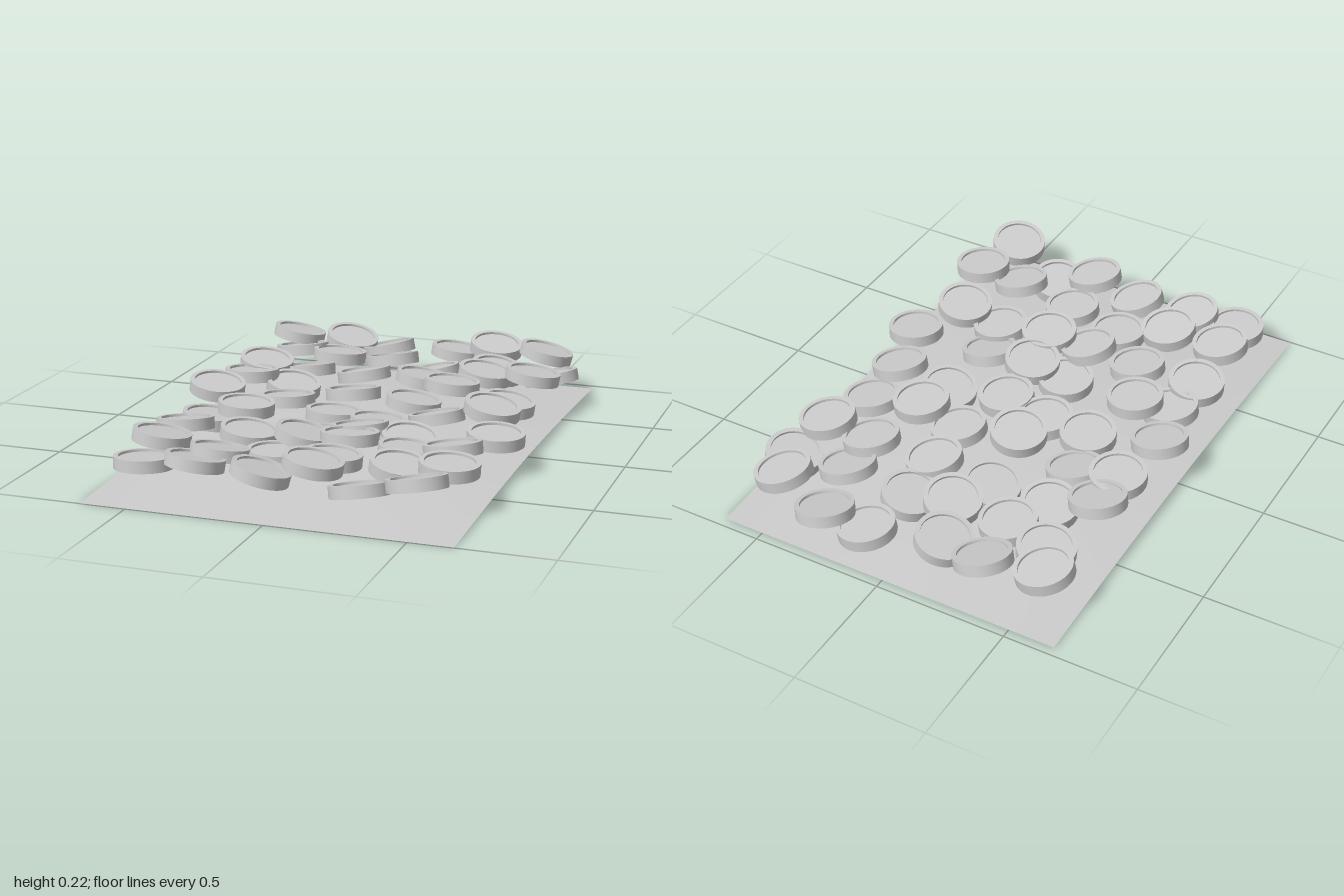
import * as THREE from 'three';
import { toCreasedNormals } from 'three/addons/utils/BufferGeometryUtils.js';

const UP = new THREE.Vector3(0, 1, 0);

// Round piece with a raised rim and a shallow recess on both faces
function makeDisc() {
  const r = 0.105, inner = 0.088, half = 0.022, floor = 0.013;
  const profile = [
    [0, -floor], [inner, -floor], [inner, -half], [r, -half],
    [r, half], [inner, half], [inner, floor], [0, floor],
  ].map(([x, y]) => new THREE.Vector2(x, y));
  return toCreasedNormals(new THREE.LatheGeometry(profile, 40), 0.6);
}

// Thin sheet bulging gently upward in the middle
function makeSheet() {
  const geo = new THREE.PlaneGeometry(1.33, 1.96, 24, 32).rotateX(-Math.PI / 2);
  const p = geo.attributes.position;
  for (let i = 0; i < p.count; i++) {
    const u = p.getX(i) / 0.665, v = p.getZ(i) / 0.98;
    p.setY(i, Math.cos(v * Math.PI / 2) * (0.026 + 0.028 * Math.cos(u * Math.PI / 2)));
  }
  geo.translate(-0.007, 0, 0.016);
  geo.computeVertexNormals();
  return geo;
}

export function createModel() {
  const model = new THREE.Group();
  const grey = new THREE.MeshStandardMaterial({ color: 0xcccccc });
  const sheetGrey = new THREE.MeshStandardMaterial({ color: 0xcccccc, side: THREE.DoubleSide });
  const discGeo = makeDisc();

  const sheet = new THREE.Mesh(makeSheet(), sheetGrey);
  sheet.name = 'curvedSheet';
  model.add(sheet);

  // Each disc: x, z, height, lean of its axis toward x and z
  const addRow = (name, discs) => {
    const row = new THREE.Group();
    row.name = name;
    for (const [x, z, y, leanX, leanZ] of discs) {
      const disc = new THREE.Mesh(discGeo, grey);
      disc.name = 'disc';
      disc.position.set(x, y, z);
      disc.quaternion.setFromUnitVectors(UP, new THREE.Vector3(leanX, 1, leanZ).normalize());
      row.add(disc);
    }
    model.add(row);
  };

  addRow('discRow1', [
    [-0.55, -0.81, 0.17, 0.18, -0.1], [-0.33, -0.84, 0.155, 0.24, 0.16], [-0.16, -0.81, 0.14, -0.24, -0.1],
    [0.11, -0.88, 0.13, 0.14, -0.06], [0.27, -0.895, 0.16, 0.15, 0.16], [0.5, -0.81, 0.175, 0.24, -0.06],
  ]);
  addRow('discRow2', [
    [-0.49, -0.685, 0.14, -0.12, -0.14], [-0.31, -0.63, 0.143, 0.06, -0.1], [-0.085, -0.625, 0.145, -0.18, -0.18],
    [0.085, -0.635, 0.105, -0.22, -0.08], [0.345, -0.635, 0.135, 0.22, 0.1], [0.56, -0.66, 0.12, -0.22, -0.1],
  ]);
  addRow('discRow3', [
    [-0.38, -0.46, 0.12, -0.12, -0.16], [-0.53, -0.385, 0.155, 0.16, 0.12], [-0.15, -0.465, 0.12, -0.18, -0.12],
    [0.1, -0.445, 0.13, 0.17, -0.08], [0.34, -0.485, 0.16, 0.18, 0.03], [0.53, -0.48, 0.172, 0.15, -0.06],
  ]);
  addRow('discRow4', [
    [-0.53, -0.23, 0.15, -0.02, -0.1], [-0.36, -0.235, 0.115, 0.18, 0.12], [-0.09, -0.165, 0.13, -0.1, -0.16],
    [0.135, -0.215, 0.1, 0.15, -0.06], [0.28, -0.235, 0.178, 0.08, -0.08], [0.495, -0.24, 0.12, 0.15, 0.04],
  ]);
  addRow('discRow5', [
    [-0.575, 0.01, 0.16, 0.16, 0.1], [-0.31, -0.04, 0.12, -0.05, -0.12], [-0.11, 0, 0.09, 0.05, -0.08],
    [0.08, 0.045, 0.09, 0.06, -0.1], [0.28, -0.04, 0.105, -0.2, -0.14], [0.49, -0.05, 0.155, 0.2, 0.08],
  ]);
  addRow('discRow6', [
    [-0.5, 0.255, 0.11, 0.12, -0.04], [-0.38, 0.2, 0.15, 0.06, -0.02], [-0.065, 0.245, 0.09, -0.04, -0.12],
    [0.08, 0.245, 0.125, -0.12, -0.14], [0.27, 0.25, 0.103, 0.18, 0.14], [0.575, 0.205, 0.13, 0.06, 0.04],
  ]);
  addRow('discRow7', [
    [-0.53, 0.415, 0.135, -0.08, -0.16], [-0.28, 0.42, 0.122, 0.14, 0.02], [-0.07, 0.42, 0.135, 0.24, -0.04],
    [0.1, 0.415, 0.145, -0.02, -0.12], [0.31, 0.405, 0.11, 0.1, -0.06], [0.48, 0.42, 0.143, -0.14, -0.14],
  ]);
  addRow('discRow8', [
    [-0.515, 0.655, 0.155, 0.14, -0.1], [-0.285, 0.68, 0.13, 0.08, -0.18], [-0.11, 0.59, 0.11, 0.02, -0.03],
    [0.11, 0.625, 0.13, 0.08, -0.04], [0.37, 0.675, 0.14, 0.18, 0.08], [0.545, 0.675, 0.16, 0.06, 0.02],
  ]);
  addRow('discRow9', [
    [-0.505, 0.83, 0.118, -0.02, -0.08], [-0.32, 0.815, 0.132, 0.12, -0.18], [-0.08, 0.815, 0.118, 0.26, -0.1],
    [0.11, 0.815, 0.17, 0.18, -0.02], [0.27, 0.805, 0.092, -0.16, -0.2], [0.495, 0.88, 0.163, -0.18, -0.2],
  ]);

  return model;
}
